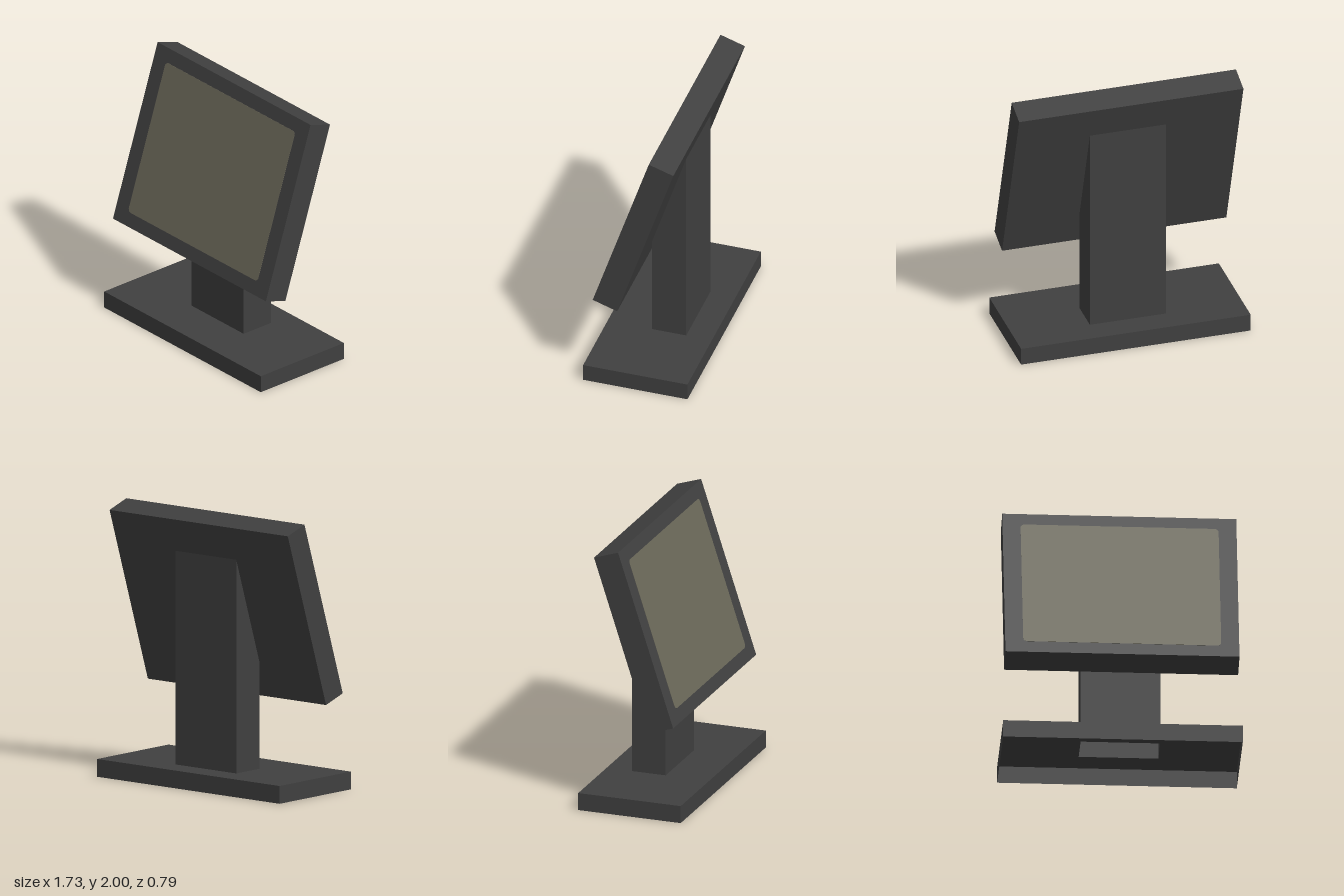
import * as THREE from 'three';

const TILT = THREE.MathUtils.degToRad(18.2);
const PANEL = { w: 1.69, h: 1.36, d: 0.195, y: 1.325, z: 0.024 };
const BASE = { w: 1.73, h: 0.13, d: 0.79 };
const STAND = { w: 0.575, front: 0.06, back: -0.2 };

const casing = new THREE.MeshStandardMaterial({ name: 'charcoal casing', color: 0x404040, side: THREE.DoubleSide });
const glass = new THREE.MeshStandardMaterial({ name: 'olive screen', color: 0x6b6859 });

function part(name, geometry, material) {
  const mesh = new THREE.Mesh(geometry, material);
  mesh.name = name;
  return mesh;
}

// Four box walls, open at top and bottom
function walls(w, h, d) {
  const box = new THREE.BoxGeometry(w, h, d);
  const index = Array.from(box.index.array);
  box.setIndex([...index.slice(0, 12), ...index.slice(24)]);
  box.clearGroups();
  return box;
}

function rectangle(path, x0, y0, x1, y1) {
  path.moveTo(x0, y0).lineTo(x1, y0).lineTo(x1, y1).lineTo(x0, y1).closePath();
  return path;
}

function roundedRectangle(w, h, r) {
  const x = w / 2, y = h / 2;
  const s = new THREE.Shape();
  s.absarc(x - r, y - r, r, 0, Math.PI / 2);
  s.absarc(-x + r, y - r, r, Math.PI / 2, Math.PI);
  s.absarc(-x + r, -y + r, r, Math.PI, Math.PI * 1.5);
  s.absarc(x - r, -y + r, r, Math.PI * 1.5, Math.PI * 2);
  return s;
}

// Hollow foot, open underneath, its top cut out for the stand
function createBase() {
  const base = new THREE.Group();
  base.name = 'base';
  const sides = part('baseSides', walls(BASE.w, BASE.h, BASE.d), casing);
  sides.position.y = BASE.h / 2;
  const outline = rectangle(new THREE.Shape(), -BASE.w / 2, -BASE.d / 2, BASE.w / 2, BASE.d / 2);
  outline.holes.push(rectangle(new THREE.Path(), -STAND.w / 2, -STAND.front, STAND.w / 2, -STAND.back));
  const top = part('baseTop', new THREE.ShapeGeometry(outline).rotateX(-Math.PI / 2), casing);
  top.position.y = BASE.h;
  base.add(sides, top);
  return base;
}

// Hollow column whose top edge follows the sloping back of the panel
function createStand() {
  const depth = STAND.front - STAND.back;
  const geometry = walls(STAND.w, 1, depth).translate(0, 0, (STAND.front + STAND.back) / 2);
  const p = geometry.attributes.position;
  for (let i = 0; i < p.count; i++) {
    const reach = -PANEL.d / 2 - (p.getZ(i) - PANEL.z) * Math.cos(TILT);
    p.setY(i, p.getY(i) < 0 ? BASE.h : PANEL.y + reach / Math.sin(TILT));
  }
  return part('stand', geometry, casing);
}

// Tilted display with a thin screen set on its face
function createDisplay() {
  const display = new THREE.Group();
  display.name = 'display';
  const screen = part('screen', new THREE.ExtrudeGeometry(roundedRectangle(1.43, 1.153, 0.03), {
    depth: 0.004, bevelEnabled: false, curveSegments: 3,
  }), glass);
  screen.position.z = PANEL.d / 2 - 0.002;
  display.add(part('displayCase', new THREE.BoxGeometry(PANEL.w, PANEL.h, PANEL.d), casing), screen);
  display.position.set(0, PANEL.y, PANEL.z);
  display.rotation.x = -TILT;
  return display;
}

export function createModel() {
  const model = new THREE.Group();
  model.name = 'monitor';
  model.add(createBase(), createStand(), createDisplay());
  return model;
}
